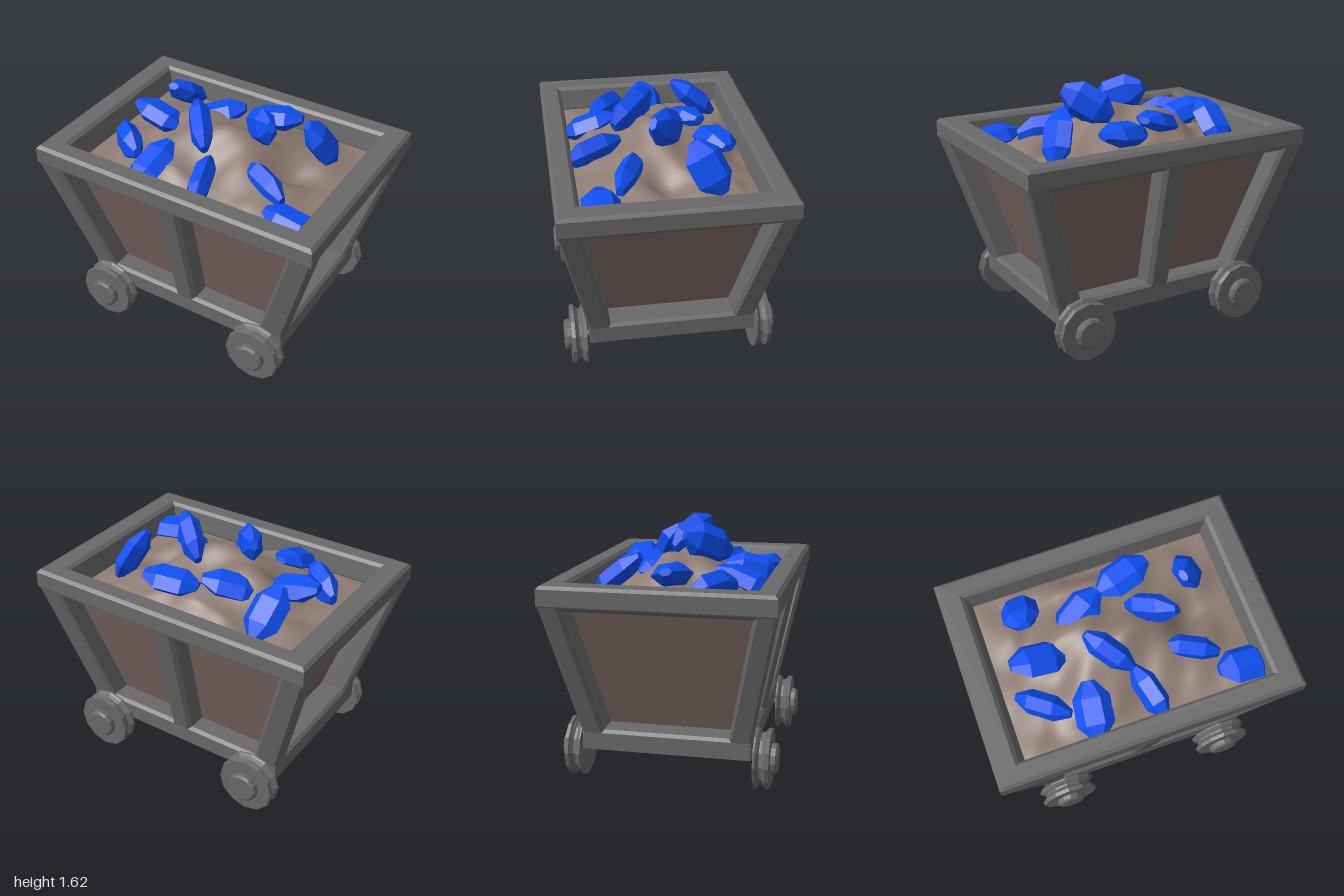
import * as THREE from 'three';

const mat = (color, flatShading = true) => new THREE.MeshStandardMaterial({ color, flatShading, roughness: 0.9 });
const METAL = mat(0x696969), PANEL = mat(0x77645f), DIRT = mat(0x8e7c72, false), CRYSTAL = mat(0x0f50f5);

// Skin through rings of [x, y, z] points (counter-clockwise from above, going up), optionally capped
function loft(rings, caps = true) {
  const pos = [];
  const tri = (a, b, c) => pos.push(...a, ...b, ...c);
  for (let r = 0; r < rings.length - 1; r++) {
    const lo = rings[r], hi = rings[r + 1], n = lo.length;
    for (let i = 0; i < n; i++) {
      const j = (i + 1) % n;
      tri(lo[i], lo[j], hi[j]);
      tri(lo[i], hi[j], hi[i]);
    }
  }
  if (caps) {
    const lo = rings[0], hi = rings[rings.length - 1];
    for (let i = 1; i < lo.length - 1; i++) {
      tri(lo[0], lo[i + 1], lo[i]);
      tri(hi[0], hi[i], hi[i + 1]);
    }
  }
  const g = new THREE.BufferGeometry();
  g.setAttribute('position', new THREE.Float32BufferAttribute(pos, 3));
  g.computeVertexNormals();
  return g;
}

const rect = ([x, z, y]) => [[x, y, z], [x, y, -z], [-x, y, -z], [-x, y, z]];

// Places plan points at height y, mirrored by the signs sx and sz
function planRing(points, y, sx, sz) {
  const ring = points.map(([x, z]) => [x * sx, y, z * sz]);
  return sx * sz < 0 ? ring.reverse() : ring;
}

function add(parent, name, geometry, material) {
  const m = new THREE.Mesh(geometry, material);
  m.name = name;
  parent.add(m);
  return m;
}

function buildFrame() {
  const g = new THREE.Group();
  g.name = 'frame';
  // Top rim: rectangular ring with chamfered edges
  const rim = [[0.8, 0.555, 1.17], [0.97, 0.685, 1.17], [0.995, 0.712, 1.19], [1, 0.715, 1.2], [1, 0.715, 1.3],
    [0.98, 0.695, 1.32], [0.86, 0.595, 1.32], [0.835, 0.575, 1.3], [0.8, 0.555, 1.17]];
  add(g, 'rim', loft(rim.map(rect), false), METAL);
  // Floor with chamfered window sills
  const base = [[0.74, 0.535, 0.23], [0.74, 0.535, 0.34], [0.72, 0.515, 0.36], [0.56, 0.39, 0.36]];
  add(g, 'base', loft(base.map(rect)), METAL);
  // Splayed corner posts with chamfered window edges
  const low = [[0.57, 0.39], [0.57, 0.515], [0.59, 0.535], [0.73, 0.535], [0.74, 0.525], [0.74, 0.415],
    [0.72, 0.395], [0.56, 0.395], [0.56, 0.39]];
  const high = [[0.84, 0.565], [0.84, 0.69], [0.865, 0.713], [0.985, 0.713], [0.998, 0.7], [0.998, 0.6],
    [0.975, 0.575], [0.815, 0.575], [0.815, 0.565]];
  for (const sx of [1, -1]) for (const sz of [1, -1])
    add(g, 'cornerPost', loft([planRing(low, 0.34, sx, sz), planRing(high, 1.2, sx, sz)]), METAL);
  // Middle post on the front and back
  const bar = (z) => [[-0.055, z], [0.055, z], [0.08, z - 0.025], [0.08, z - 0.145], [-0.08, z - 0.145], [-0.08, z - 0.025]];
  for (const sz of [1, -1])
    add(g, 'middlePost', loft([planRing(bar(0.535), 0.34, 1, sz), planRing(bar(0.713), 1.2, 1, sz)]), METAL);
  return g;
}

function buildLoad() {
  const g = new THREE.Group();
  g.name = 'load';
  add(g, 'sidePanels', loft([[0.56, 0.395, 0.35], [0.81, 0.563, 1.17]].map(rect), false), PANEL);
  // Heaped soil: central mound with ripples that fade to the edge
  const soil = new THREE.PlaneGeometry(1.63, 1.13, 56, 40).rotateX(-Math.PI / 2);
  const p = soil.attributes.position;
  for (let i = 0; i < p.count; i++) {
    const x = p.getX(i), z = p.getZ(i);
    const fade = Math.min(1, 4 * (1 - Math.abs(x) / 0.815), 4 * (1 - Math.abs(z) / 0.565));
    const mound = 0.215 * Math.exp(-(((x + 0.03) / 0.41) ** 4) - ((z / 0.36) ** 2));
    const ripple = 0.022 * Math.sin(9 * x + 4 * Math.sin(5 * z)) + 0.018 * Math.sin(13 * z - 5 * x + 1)
      + 0.008 * Math.sin(23 * x + 11 * z);
    p.setY(i, 1.16 + fade * (0.035 + mound + ripple));
  }
  soil.computeVertexNormals();
  add(g, 'soil', soil, DIRT);
  return g;
}

function buildCrystals() {
  const g = new THREE.Group();
  g.name = 'crystals';
  // Flattened six-sided gem with blunt points
  const hex = (y, s) => Array.from({ length: 6 }, (_, i) => {
    const a = i * Math.PI / 3;
    return [Math.cos(a) * 0.12 * s, y, -Math.sin(a) * 0.075 * s];
  });
  const gem = loft([hex(-0.185, 0.35), hex(-0.09, 1), hex(0.08, 1), hex(0.185, 0.35)]);
  // [centre], [long axis], [width direction]
  const placed = [
    [[-0.53, 1.33, -0.34], [-0.05, 0.6, 0.75], [1, 0.1, 0]],
    [[-0.18, 1.34, -0.21], [0.8, 0.25, -0.45], [0.4, 0.1, 0.8]],
    [[0.17, 1.34, -0.36], [0.9, 0.1, -0.25], [0.25, 0.1, 0.9]],
    [[0.57, 1.35, -0.24], [-0.33, 0.75, 0.4], [0.3, -0.3, 0.9]],
    [[-0.52, 1.33, 0], [-0.95, 0.25, 0], [0, 0.2, 1]],
    [[-0.1, 1.465, 0.145], [0.62, -0.4, 0.74], [0, 1, 0]],
    [[0.245, 1.48, -0.03], [0.62, 0.45, 0.5], [0, 1, 0]],
    [[0.42, 1.25, 0.23], [0.9, -0.1, 0.42], [0, 1, 0]],
    [[-0.58, 1.25, 0.27], [0.78, 0.1, 0.62], [0, 1, 0]],
    [[-0.3, 1.27, 0.41], [0.12, 0.35, -0.9], [1, 0.15, 0]],
    [[0.07, 1.26, 0.41], [-0.25, 0.25, -0.9], [0.25, 1, 0]],
    [[0.72, 1.21, 0.43], [0.95, -0.15, 0], [0, 0.1, 1]],
  ];
  for (const [centre, axis, width] of placed) {
    const y = new THREE.Vector3(...axis).normalize();
    const z = new THREE.Vector3(...width).cross(y).normalize();
    const x = new THREE.Vector3().crossVectors(y, z);
    const m = add(g, 'crystal', gem, CRYSTAL);
    m.quaternion.setFromRotationMatrix(new THREE.Matrix4().makeBasis(x, y, z));
    m.position.set(...centre);
  }
  return g;
}

function buildWheels() {
  const g = new THREE.Group();
  g.name = 'wheels';
  // Flanged, grooved wheel with a hub, turned from the inner face outwards
  const profile = [[0, 0], [0.196, 0], [0.196, 0.01], [0.185, 0.022], [0.165, 0.035], [0.165, 0.05], [0.185, 0.07],
    [0.196, 0.075], [0.19, 0.1], [0.1, 0.1], [0.1, 0.13], [0.085, 0.142], [0, 0.142]];
  const wheel = new THREE.LatheGeometry(profile.map(([r, h]) => new THREE.Vector2(r, h)), 12);
  const axle = new THREE.CylinderGeometry(0.022, 0.022, 1.12, 10);
  for (const x of [0.585, -0.585]) {
    const a = add(g, 'axle', axle, METAL);
    a.rotation.x = Math.PI / 2;
    a.position.set(x, 0.197, 0);
    for (const s of [1, -1]) {
      const w = add(g, 'wheel', wheel, METAL);
      w.rotation.x = s * Math.PI / 2;
      w.position.set(x, 0.197, s * 0.55);
    }
  }
  return g;
}

export function createModel() {
  const model = new THREE.Group();
  model.name = 'mineCart';
  model.add(buildFrame(), buildLoad(), buildCrystals(), buildWheels());
  return model;
}
